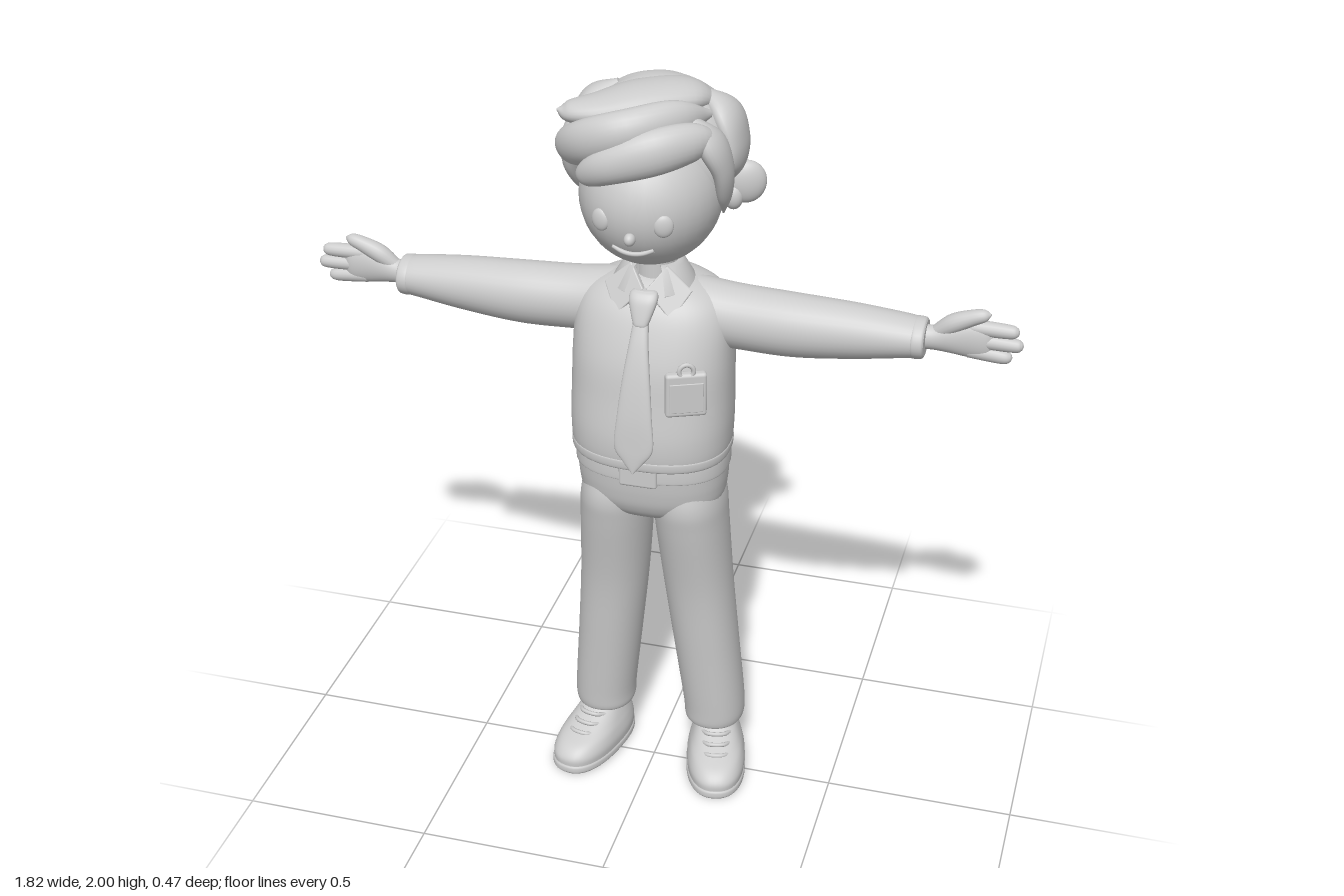
import * as THREE from 'three';
import { mergeVertices } from 'three/addons/utils/BufferGeometryUtils.js';
import { RoundedBoxGeometry } from 'three/addons/geometries/RoundedBoxGeometry.js';

const X = new THREE.Vector3(1, 0, 0), Y = new THREE.Vector3(0, 1, 0), Z = new THREE.Vector3(0, 0, 1);

// Smooth solid through cross-sections [x, y, z, a, b]: a lies across `up`, b along it.
// `dir` fixes the ring plane; `p` squares off the ellipse.
function sweep(pts, up, { dir = null, n = 32, seg = 32, p = 2 } = {}) {
  const path = new THREE.CatmullRomCurve3(pts.map(q => new THREE.Vector3(q[0], q[1], q[2])), false, 'catmullrom');
  const size = new THREE.CatmullRomCurve3(pts.map(q => new THREE.Vector3(q[3], q[4], 0)), false, 'catmullrom');
  const pos = [], idx = [];
  const pw = v => Math.sign(v) * Math.abs(v) ** (2 / p);
  for (let i = 0; i <= n; i++) {
    const c = path.getPoint(i / n), r = size.getPoint(i / n);
    const t = dir || path.getTangent(i / n);
    const side = new THREE.Vector3().crossVectors(up, t).normalize();
    const nor = new THREE.Vector3().crossVectors(t, side).normalize();
    for (let j = 0; j < seg; j++) {
      const a = j / seg * Math.PI * 2;
      const v = c.clone().addScaledVector(side, Math.max(r.x, 0.001) * pw(Math.cos(a)))
        .addScaledVector(nor, Math.max(r.y, 0.001) * pw(Math.sin(a)));
      pos.push(v.x, v.y, v.z);
    }
  }
  for (let i = 0; i < n; i++) for (let j = 0; j < seg; j++) {
    const k = (j + 1) % seg, a = i * seg + j, b = i * seg + k;
    idx.push(a, b, b + seg, a, b + seg, a + seg);
  }
  // flat caps with their own ring so the rim stays sharp
  for (const i of [0, n]) {
    const base = pos.length / 3, c = path.getPoint(i / n);
    pos.push(...pos.slice(i * seg * 3, (i + 1) * seg * 3), c.x, c.y, c.z);
    for (let j = 0; j < seg; j++) {
      const a = base + j, b = base + (j + 1) % seg;
      idx.push(base + seg, ...(i ? [a, b] : [b, a]));
    }
  }
  const g = new THREE.BufferGeometry();
  g.setAttribute('position', new THREE.Float32BufferAttribute(pos, 3));
  g.setIndex(idx);
  g.computeVertexNormals();
  return g;
}

export function createModel() {
  const model = new THREE.Group();
  const clay = new THREE.MeshStandardMaterial({ color: 0xcccccc, side: THREE.DoubleSide });
  clay.name = 'light grey clay';

  const add = (name, geo, pos = [0, 0, 0], rot = [0, 0, 0], parent = model) => {
    const m = new THREE.Mesh(geo, clay);
    m.name = name;
    m.position.set(...pos);
    m.rotation.set(...rot);
    parent.add(m);
    return m;
  };
  const ball = (name, pos, r, rot) => add(name, new THREE.SphereGeometry(1, 32, 24).scale(...r), pos, rot);
  const tube = (pts, r) => new THREE.TubeGeometry(
    new THREE.CatmullRomCurve3(pts.map(q => new THREE.Vector3(...q))), 16, r, 8);
  const upright = { dir: Y, p: 2.4, seg: 48 };

  // Torso, hem and belt
  add('shirt', sweep([[0, 1.015, .01, .17, .14], [0, 1.03, .012, .2, .162], [0, 1.1, .012, .207, .168],
    [0, 1.2, .006, .206, .163], [0, 1.3, 0, .204, .155], [0, 1.4, -.015, .198, .136],
    [0, 1.455, -.025, .165, .112], [0, 1.49, -.03, .09, .075], [0, 1.5, -.03, .04, .04]], Z, { ...upright, n: 48 }));
  add('shirtHem', sweep([[0, 1.018, .012, .195, .156], [0, 1.025, .012, .204, .165],
    [0, 1.045, .012, .206, .167], [0, 1.052, .012, .202, .163]], Z, upright));
  add('belt', sweep([[0, .975, .005, .196, .146], [0, .98, .005, .2, .15],
    [0, 1.015, .005, .2, .15], [0, 1.022, .005, .196, .146]], Z, upright));
  add('buckle', new RoundedBoxGeometry(.1, .055, .02, 3, .008), [0, .993, .152]);

  // Trousers
  add('hips', sweep([[0, .812, -.006, .04, .025], [0, .825, -.006, .1, .072], [0, .85, -.004, .155, .111],
    [0, .885, -.001, .184, .131], [0, .93, .002, .193, .14], [0, .99, .004, .197, .146]], Z, { ...upright, n: 48 }));

  // Neck, collar and tie
  add('neck', new THREE.CylinderGeometry(.045, .048, .14, 32), [0, 1.52, -.01]);
  add('collarBand', new THREE.LatheGeometry([[.062, 1.46], [.055, 1.53], [.062, 1.538], [.075, 1.53], [.107, 1.475], [.1, 1.468]]
    .map(q => new THREE.Vector2(...q)), 40, .5, Math.PI * 2 - 1), [0, 0, -.005]);
  add('tieBlade', sweep([[0, 1.03, .199, .002, .006], [0, 1.06, .197, .026, .008], [0, 1.1, .193, .05, .01],
    [0, 1.18, .185, .045, .011], [0, 1.28, .166, .035, .012], [0, 1.36, .143, .025, .012], [0, 1.43, .114, .018, .012]],
    Z, { dir: Y, p: 2.6 }));
  add('tieKnot', sweep([[0, 1.405, .122, .016, .012], [0, 1.415, .12, .021, .016], [0, 1.46, .102, .035, .02],
    [0, 1.48, .092, .034, .017], [0, 1.487, .088, .024, .01]], Z, { dir: Y, p: 2.6 }));

  // Badge with clip, on the left chest
  const badge = new THREE.Group();
  badge.name = 'badge';
  badge.position.set(.122, 1.248, .15);
  badge.rotation.y = .42;
  model.add(badge);
  add('badgeCard', new RoundedBoxGeometry(.104, .118, .026, 3, .009), [0, 0, 0], [0, 0, 0], badge);
  add('badgePanel', new RoundedBoxGeometry(.085, .08, .004, 2, .002), [0, -.006, .013], [0, 0, 0], badge);
  add('badgeClip', new THREE.TorusGeometry(.018, .006, 10, 24), [0, .065, .006], [0, 0, 0], badge);

  // Head and face
  ball('head', [0, 1.725, .02], [.175, .18, .198]);
  ball('nose', [0, 1.675, .215], [.014, .016, .017]);
  add('mouth', tube([[-.05, 1.64, .184], [-.025, 1.631, .191], [0, 1.628, .193], [.025, 1.631, .191], [.05, 1.64, .184]], .006));

  // Hair cap with grooved locks running down from the crown
  const cap = new THREE.SphereGeometry(1, 96, 48);
  const cp = cap.attributes.position;
  for (let i = 0; i < cp.count; i++) {
    const v = new THREE.Vector3().fromBufferAttribute(cp, i);
    const k = 1 + .11 * (Math.abs(Math.cos(3 * Math.atan2(v.x, v.z))) - .7) * Math.hypot(v.x, v.z);
    cp.setXYZ(i, v.x * k * .202, v.y * .19, v.z * k * .181);
  }
  cap.deleteAttribute('uv');
  cap.deleteAttribute('normal');
  const capGeo = mergeVertices(cap, 1e-5);
  capGeo.computeVertexNormals();
  add('hairCap', capGeo, [0, 1.8, -.045]);

  const lock = (name, pts, up) => add(name, sweep(pts, up, { n: 28, seg: 24 }));
  lock('fringeLower', [[.17, 1.88, .06, .01, .01], [.13, 1.895, .115, .045, .035], [.05, 1.885, .18, .055, .038],
    [-.05, 1.85, .2, .046, .034], [-.115, 1.813, .183, .03, .022], [-.14, 1.8, .165, .002, .002]], Z);
  lock('fringeUpper', [[.14, 1.93, .02, .01, .01], [.08, 1.935, .1, .05, .035], [-.02, 1.925, .17, .052, .042],
    [-.11, 1.89, .165, .055, .04], [-.175, 1.85, .115, .045, .034], [-.205, 1.83, .085, .002, .002]], Z);
  lock('topSweep', [[.14, 1.93, -.06, .01, .01], [.08, 1.955, -.03, .07, .035], [-.02, 1.96, .03, .08, .033],
    [-.11, 1.94, .075, .065, .032], [-.18, 1.932, .1, .038, .024], [-.207, 1.938, .11, .002, .002]], Y);
  lock('leftTemple', [[.1, 1.94, .08, .01, .01], [.155, 1.89, .085, .05, .03], [.184, 1.82, .065, .046, .025],
    [.184, 1.74, .035, .034, .018], [.176, 1.68, .015, .002, .002]], X);
  lock('rightTemple', [[-.13, 1.93, .07, .01, .01], [-.172, 1.88, .07, .05, .03], [-.186, 1.81, .06, .042, .025],
    [-.182, 1.75, .035, .028, .016], [-.176, 1.7, .015, .002, .002]], X);

  for (const s of [1, -1]) {
    const side = s > 0 ? 'left' : 'right';
    const out = new THREE.Vector3(s, 0, 0);
    const flip = pts => pts.map(([x, ...r]) => [s * x, ...r]);

    ball(side + 'Eye', [s * .077, 1.709, .195], [.024, .028, .011], [0, s * .35, 0]);
    ball(side + 'Ear', [s * .207, 1.724, -.085], [.051, .055, .026], [0, s * .35, 0]);
    ball(side + 'EarLobe', [s * .18, 1.69, -.07], [.025, .035, .025]);
    lock(side + 'SideLock', flip([[.1, 1.96, -.05, .01, .01], [.16, 1.915, -.045, .065, .034], [.19, 1.85, -.045, .075, .028],
      [.192, 1.79, -.045, .06, .022], [.183, 1.745, -.045, .002, .002]]), X);

    // Collar flap
    const flap = new THREE.Shape([[.004, .06], [.045, .12], [.11, .07], [.07, -.005]]
      .map(q => new THREE.Vector2(s * q[0], q[1])));
    add(side + 'CollarFlap', new THREE.ExtrudeGeometry(flap, { depth: .01, bevelSize: .003, bevelThickness: .003, bevelSegments: 2 }),
      [0, 1.43, .108], [-.5, s * .3, 0]);

    // Sleeve and cuff
    add(side + 'Sleeve', sweep(flip([[.08, 1.4, -.025, .085, .088], [.2, 1.39, -.025, .08, .083], [.35, 1.387, -.02, .077, .081],
      [.5, 1.39, -.022, .07, .07], [.62, 1.393, -.024, .062, .055], [.665, 1.393, -.024, .057, .048]]), Y, { dir: out }));
    add(side + 'Cuff', sweep(flip([[.645, 1.393, -.024, .056, .047], [.652, 1.393, -.024, .061, .051],
      [.672, 1.393, -.024, .059, .05], [.678, 1.393, -.024, .053, .044]]), Y, { dir: out, n: 16 }));

    // Hand
    add(side + 'Palm', sweep(flip([[.65, 1.395, -.03, .03, .034], [.69, 1.395, -.03, .027, .031], [.73, 1.4, -.032, .027, .04],
      [.775, 1.402, -.034, .025, .049], [.82, 1.4, -.035, .021, .049], [.84, 1.4, -.035, .01, .035]]), Y, { dir: out }));
    [[1.433, 1.432, .9], [1.4, 1.397, .912], [1.37, 1.363, .887]].forEach(([y0, y1, x1], i) =>
      add(side + 'Finger' + (i + 1), sweep(flip([[.78, y0, -.034, .018, .018], [.83, (y0 + y1) / 2, -.034, .019, .019],
        [x1 - .02, y1, -.033, .017, .017], [x1 - .005, y1, -.033, .011, .011], [x1, y1, -.033, .002, .002]]), Y, { seg: 16 })));
    add(side + 'Thumb', sweep(flip([[.7, 1.41, -.03, .018, .018], [.74, 1.44, -.026, .023, .024], [.785, 1.462, -.024, .02, .02],
      [.815, 1.472, -.024, .015, .015], [.83, 1.476, -.024, .002, .002]]), Y, { seg: 16 }));

    // Trouser leg, its top hidden inside the hips
    add(side + 'TrouserLeg', sweep(flip([[.157, .128, -.065, .068, .076], [.157, .14, -.065, .08, .088], [.155, .2, -.061, .083, .091],
      [.135, .4, -.045, .087, .096], [.116, .6, -.028, .091, .103], [.102, .8, -.006, .094, .121],
      [.098, .88, -.001, .092, .128], [.092, .95, 0, .08, .115]]), Z, { ...upright, p: 2.15, n: 48 }));

    // Shoe, turned slightly outwards
    const shoe = new THREE.Group();
    shoe.name = side + 'Shoe';
    shoe.position.set(s * .177, 0, -.005);
    shoe.rotation.y = s * .24;
    model.add(shoe);
    add('sole', sweep([[0, 0, 0, .078, .159], [0, .006, 0, .082, .163], [0, .018, 0, .082, .163], [0, .024, 0, .079, .16]],
      Z, upright), [0, 0, 0], [0, 0, 0], shoe);
    add('upper', sweep([[0, .018, 0, .079, .159], [0, .045, -.001, .08, .158], [0, .07, -.012, .074, .143],
      [0, .09, -.034, .066, .115], [0, .11, -.055, .058, .09], [0, .128, -.068, .052, .074], [0, .16, -.07, .046, .064]],
      Z, upright), [0, 0, 0], [0, 0, 0], shoe);
    for (let i = 0; i < 3; i++) {
      const y = .088 + i * .015, z = .085 - i * .028;
      add('lace' + (i + 1), tube([[-.04, y - .008, z - .03], [-.02, y, z - .004], [.02, y, z - .004], [.04, y - .008, z - .03]], .006),
        [0, 0, 0], [0, 0, 0], shoe);
    }
  }
  return model;
}
